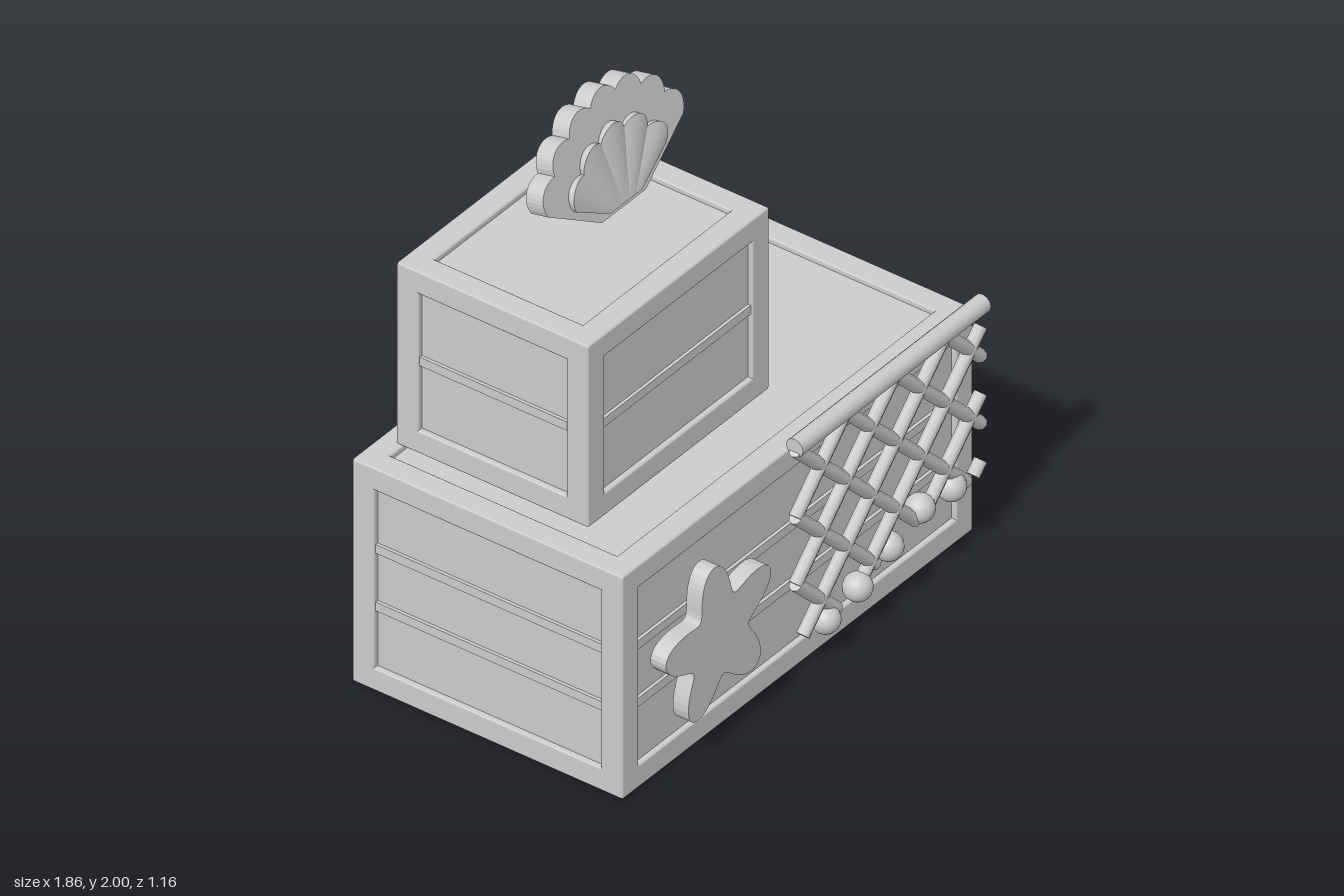
import * as THREE from 'three';
import { RoundedBoxGeometry } from 'three/addons/geometries/RoundedBoxGeometry.js';

const grey = new THREE.MeshStandardMaterial({ color: 0xcccccc });
grey.name = 'plainGrey';

function add(parent, name, geometry, x = 0, y = 0, z = 0) {
  const mesh = new THREE.Mesh(geometry, grey);
  mesh.name = name;
  mesh.position.set(x, y, z);
  parent.add(mesh);
  return mesh;
}

// Framed crate with recessed panels and raised battens, standing on y = 0
function makeCrate(name, w, h, d, battens) {
  const g = new THREE.Group();
  g.name = name;
  const t = 0.088, recess = 0.02;
  add(g, 'panels', new THREE.BoxGeometry(w - 2 * recess, h - recess - 0.004, d - 2 * recess), 0, (h - recess + 0.004) / 2, 0);
  add(g, 'base', new RoundedBoxGeometry(w, t, d, 1, 0.008), 0, t / 2, 0);
  for (const s of [-1, 1]) {
    add(g, 'longRail', new RoundedBoxGeometry(w, t, t, 1, 0.008), 0, h - t / 2, s * (d - t) / 2);
    add(g, 'sideRail', new RoundedBoxGeometry(t, t, d, 1, 0.008), s * (w - t) / 2, h - t / 2, 0);
    for (const q of [-1, 1]) {
      add(g, 'cornerPost', new RoundedBoxGeometry(t, h, t, 1, 0.008), s * (w - t) / 2, h / 2, q * (d - t) / 2);
    }
  }
  for (const y of battens) {
    add(g, 'longBatten', new THREE.BoxGeometry(w - t, 0.034, d - 0.016), 0, y, 0);
    add(g, 'sideBatten', new THREE.BoxGeometry(w - 0.016, 0.034, d - t), 0, y, 0);
  }
  return g;
}

// Cylinder between two points
function rod(parent, name, a, b, radius, sides) {
  const dir = b.clone().sub(a);
  const mesh = add(parent, name, new THREE.CylinderGeometry(radius, radius, dir.length(), sides));
  mesh.position.copy(a).lerp(b, 0.5);
  mesh.quaternion.setFromUnitVectors(new THREE.Vector3(0, 1, 0), dir.normalize());
}

function makeNet() {
  const g = new THREE.Group();
  g.name = 'fishingNet';
  const z = 0.53, x0 = -0.071, y0 = 0.89, step = 0.131;
  rod(g, 'netBar', new THREE.Vector3(-0.075, 0.902, z), new THREE.Vector3(0.915, 0.902, z), 0.034, 12);
  const node = (i, j) => new THREE.Vector3(x0 + i * step, y0 - j * step, z);
  const inside = (p) => p.x < 0.91 && p.y > 0.14 + 0.11 * THREE.MathUtils.smoothstep(p.x, 0.05, 0.6);
  // Diagonal cords, trimmed at the right edge and along the sagging hem
  for (let j = 0; j < 6; j++) {
    for (let i = j % 2; i <= 8; i += 2) {
      for (const s of [-1, 1]) {
        if (i + s < 0 || i + s > 8) continue;
        const a = node(i, j), b = node(i + s, j + 1), kept = [];
        for (let k = 0; k <= 20; k++) {
          const p = a.clone().lerp(b, k / 20);
          if (inside(p)) kept.push(p);
        }
        if (kept.length > 3) rod(g, 'netCord', kept[0], kept[kept.length - 1], 0.024, 8);
      }
    }
  }
  // Floats along the hem
  for (const [x, y] of [[0.088, 0.14], [0.257, 0.17], [0.42, 0.235], [0.585, 0.29], [0.75, 0.28]]) {
    add(g, 'netFloat', new THREE.SphereGeometry(0.051, 20, 14), x, y, z);
  }
  return g;
}

// Five smooth arms from a rippled circle
function makeStarfish() {
  const pts = [], n = 100;
  for (let i = 0; i < n; i++) {
    const a = (i / n) * Math.PI * 2;
    const r = 0.222 + 0.069 * Math.cos(5 * (a - THREE.MathUtils.degToRad(97)));
    pts.push(new THREE.Vector2(r * Math.cos(a), r * Math.sin(a)));
  }
  return new THREE.ExtrudeGeometry(new THREE.Shape(pts), { depth: 0.062, bevelEnabled: false });
}

// Scalloped rim from right to left: points with their height on the lobe (0 valley, 1 tip)
function scallops(lobes, valley, tip, per) {
  const rim = [], n = lobes * per;
  for (let i = 0; i <= n; i++) {
    const a = THREE.MathUtils.degToRad(20 + (140 * i) / n);
    const lobe = Math.abs(Math.sin((Math.PI * i) / per));
    const r = valley + (tip - valley) * Math.pow(lobe, 0.8);
    rim.push({ x: r * Math.cos(a), y: r * Math.sin(a), lobe });
  }
  return rim;
}

function makeShell() {
  const g = new THREE.Group();
  g.name = 'scallopShell';
  const outline = scallops(7, 0.378, 0.415, 10).map((p) => new THREE.Vector2(p.x, p.y));
  outline.push(new THREE.Vector2(-0.115, -0.02), new THREE.Vector2(0.115, -0.02));
  add(g, 'shellBody', new THREE.ExtrudeGeometry(new THREE.Shape(outline), { depth: 0.07, bevelEnabled: false }), 0, 0, -0.07);

  // Raised inner fan with gently swelling ribs
  const rim = scallops(5, 0.25, 0.287, 10), pos = [];
  const tri = (...v) => v.forEach((p) => pos.push(...p));
  const n = rim.length - 1;
  const foot = (i, z) => [0.085 * (1 - (2 * i) / n), 0, z];
  const edge = (i, z) => [rim[i].x, rim[i].y, z];
  const top = (i) => 0.012 + 0.012 * rim[i].lobe;
  const quad = (a, b, c, d) => { tri(a, b, c); tri(a, c, d); };
  for (let i = 0; i < n; i++) {
    const k = i + 1;
    quad(foot(i, 0.014), edge(i, top(i)), edge(k, top(k)), foot(k, 0.014));
    quad(edge(i, 0), edge(k, 0), edge(k, top(k)), edge(i, top(i)));
    quad(foot(k, 0), foot(i, 0), foot(i, 0.014), foot(k, 0.014));
  }
  quad(foot(0, 0), edge(0, 0), edge(0, top(0)), foot(0, 0.014));
  quad(edge(n, 0), foot(n, 0), foot(n, 0.014), edge(n, top(n)));
  const fan = new THREE.BufferGeometry();
  fan.setAttribute('position', new THREE.Float32BufferAttribute(pos, 3));
  fan.computeVertexNormals();
  add(g, 'shellFan', fan);

  g.position.set(-0.1, 1.595, -0.135);
  g.rotation.x = -0.216;
  return g;
}

export function createModel() {
  const model = new THREE.Group();
  model.name = 'beachCrates';

  const lower = makeCrate('lowerCrate', 1.847, 0.87, 1.078, [0.325, 0.55]);
  lower.position.set(-0.01, 0, -0.045);
  const upper = makeCrate('upperCrate', 0.955, 0.71, 0.765, [0.355]);
  upper.position.set(-0.307, 0.87, -0.138);

  model.add(lower, upper, makeNet(), makeShell());
  add(model, 'starfish', makeStarfish(), -0.518, 0.432, 0.507);
  return model;
}
